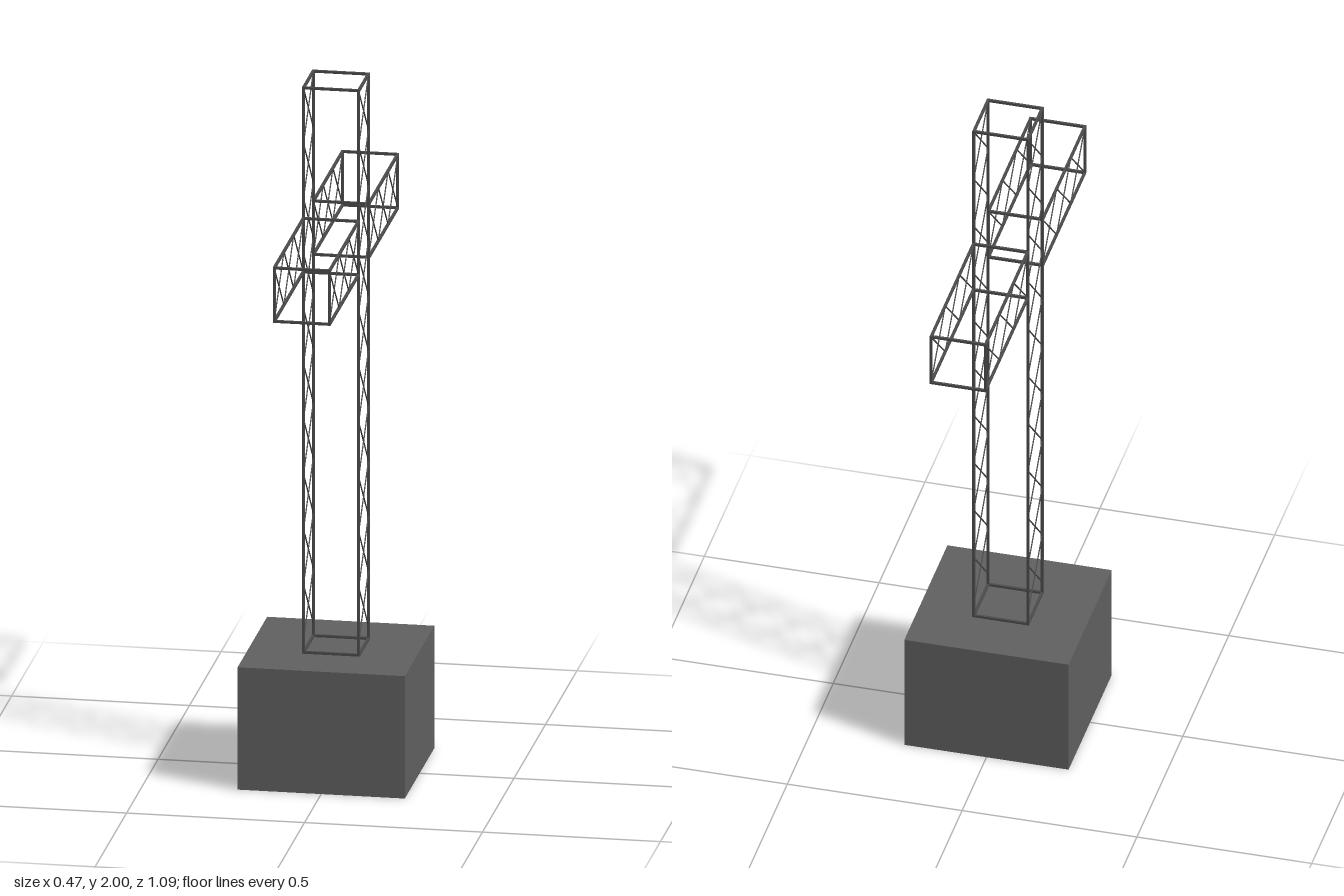
import * as THREE from 'three';

const baseGrey = new THREE.MeshStandardMaterial({ color: 0x606060 });
baseGrey.name = 'baseGrey';
const steelGrey = new THREE.MeshStandardMaterial({ color: 0x4c4c4c });
steelGrey.name = 'steelGrey';

const BAR = 0.007;    // chord thickness
const BRACE = 0.003;  // diagonal thickness
const R = 0.0775;     // half width between chord centres

// Square bar between two points
function bar(group, name, a, b, size, extra = 0) {
  const from = new THREE.Vector3(...a), to = new THREE.Vector3(...b);
  const dir = to.clone().sub(from);
  const mesh = new THREE.Mesh(new THREE.BoxGeometry(size, dir.length() + extra, size), steelGrey);
  mesh.position.copy(from).add(to).multiplyScalar(0.5);
  mesh.quaternion.setFromUnitVectors(new THREE.Vector3(0, 1, 0), dir.normalize());
  mesh.name = name;
  group.add(mesh);
}

// Upright square truss from y0 to y1, cross braced on its two x sides
function truss(name, y0, y1, braceStart, braceEnd, panels) {
  const group = new THREE.Group();
  group.name = name;
  const bottom = y0 + BAR / 2, top = y1 - BAR / 2;
  for (const s of [-1, 1]) {
    for (const t of [-1, 1]) bar(group, 'chord', [s * R, bottom, t * R], [s * R, top, t * R], BAR, BAR);
    for (const y of [bottom, top]) {
      bar(group, 'endBar', [-R, y, s * R], [R, y, s * R], BAR);
      bar(group, 'endBar', [s * R, y, -R], [s * R, y, R], BAR);
    }
    const step = (braceEnd - braceStart) / panels;
    for (let i = 0; i < panels; i++) {
      const a = braceStart + i * step, b = a + step;
      bar(group, 'brace', [s * R, a, -R], [s * R, b, R], BRACE);
      bar(group, 'brace', [s * R, a, R], [s * R, b, -R], BRACE);
    }
  }
  return group;
}

export function createModel() {
  const model = new THREE.Group();
  model.name = 'latticeCross';

  // Foundation block
  const base = new THREE.Mesh(new THREE.BoxGeometry(0.47, 0.355, 0.47), baseGrey);
  base.position.y = 0.1775;
  base.name = 'foundation';
  model.add(base);

  // Mast
  model.add(truss('mast', 0.355, 2, 0.395, 1.995, 10));

  // Arms reaching forward and back
  for (const side of [1, -1]) {
    const arm = truss(side > 0 ? 'frontArm' : 'backArm', 0.078, 0.545, 0.08, 0.543, 3);
    arm.rotation.x = side * Math.PI / 2;
    arm.position.y = 1.541;
    model.add(arm);
  }
  return model;
}
